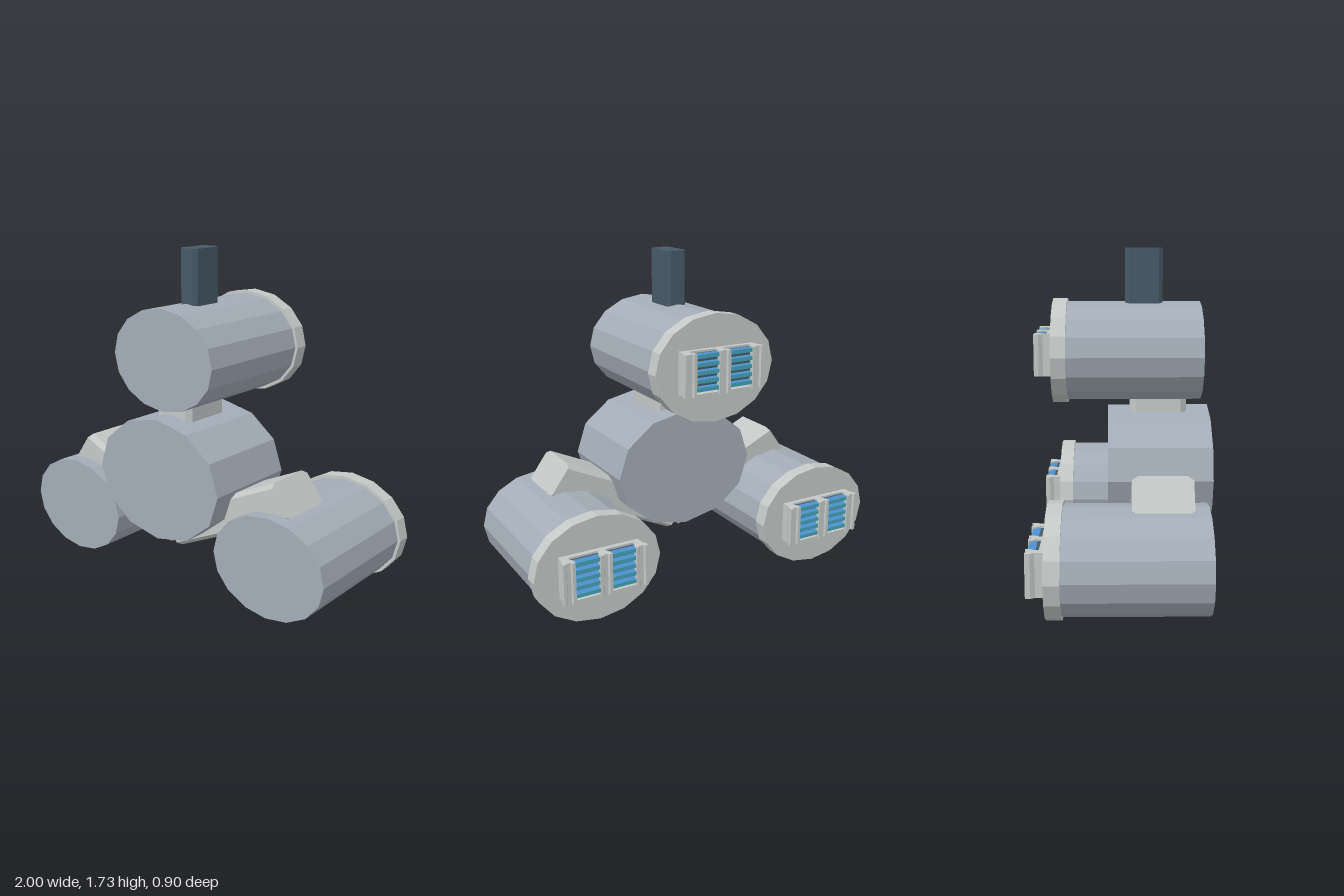
import * as THREE from 'three';

const material = (name, color, flatShading = true) => {
  const m = new THREE.MeshStandardMaterial({ color, flatShading });
  m.name = name;
  return m;
};

// Prism along y whose rectangular section (w by d) has cut corners
function chamferedPrism(w, d, h, cw, cd) {
  const x = w / 2, y = d / 2;
  const shape = new THREE.Shape([
    [x - cw, -y], [x, -y + cd], [x, y - cd], [x - cw, y],
    [-x + cw, y], [-x, y - cd], [-x, -y + cd], [-x + cw, -y],
  ].map(p => new THREE.Vector2(...p)));
  const g = new THREE.ExtrudeGeometry(shape, { depth: h, bevelEnabled: false });
  return g.translate(0, 0, -h / 2).rotateX(-Math.PI / 2);
}

// Elliptical drum lying along z
function drum(rx, ry, z0, z1, sides) {
  return new THREE.CylinderGeometry(1, 1, z1 - z0, sides)
    .rotateX(Math.PI / 2).scale(rx, ry, 1).translate(0, 0, (z0 + z1) / 2);
}

export function createModel() {
  const hull = material('hull grey', 0xa3acb7);
  const trim = material('light trim', 0xc3c8c7);
  const slate = material('dark slate', 0x465a68);
  const blue = material('vane blue', 0x4f8fd0);
  const teal = material('vane teal', 0x45a5ba);

  const model = new THREE.Group();
  model.name = 'podCluster';
  const add = (parent, name, geometry, mat) => {
    const mesh = new THREE.Mesh(geometry, mat);
    mesh.name = name;
    parent.add(mesh);
    return mesh;
  };

  // Central hub
  const hubY = 0.587, stretch = 1.25;
  add(model, 'hub', drum(0.4, 0.32, -0.075, 0.455, 12), hull).position.y = hubY;

  // Grille post: narrow neck opening into a two-horned head
  const half = [[0.02, 0.36], [0.02, 0.405], [0.032, 0.425], [0.032, 0.45], [0.016, 0.45], [0.01, 0.44]];
  const outline = [...half, ...half.slice().reverse().map(([x, z]) => [-x, z])];
  const postShape = new THREE.Shape(outline.map(p => new THREE.Vector2(...p)));
  const postGeometry = new THREE.ExtrudeGeometry(postShape, { depth: 0.215, bevelEnabled: false })
    .translate(0, 0, -0.1075).rotateX(-Math.PI / 2);

  function makeGrille() {
    const grille = new THREE.Group();
    grille.name = 'rearGrille';
    add(grille, 'grilleBase', new THREE.BoxGeometry(0.41, 0.215, 0.03), trim).position.z = -0.372;
    add(grille, 'grilleBacking', new THREE.BoxGeometry(0.37, 0.195, 0.02), slate).position.z = -0.396;
    add(grille, 'grilleSill', new THREE.BoxGeometry(0.38, 0.012, 0.06), trim).position.set(0, -0.1015, -0.41);
    for (const x of [-0.193, 0, 0.193]) add(grille, 'grillePost', postGeometry, trim).position.x = x;
    // Horizontal vanes in both bays
    for (const x of [-0.0965, 0.0965]) {
      for (let i = 0; i < 5; i++) {
        const y = -0.074 + i * 0.041;
        add(grille, 'vane', new THREE.BoxGeometry(0.145, 0.02, 0.034), blue).position.set(x, y, -0.421);
        add(grille, 'vaneFace', new THREE.BoxGeometry(0.145, 0.02, 0.004), teal).position.set(x, y, -0.44);
      }
    }
    return grille;
  }

  // Three pods around the hub
  for (const [name, x, y] of [['topPod', 0, 1.199], ['leftPod', 0.66, 0.278], ['rightPod', -0.66, 0.278]]) {
    const pod = new THREE.Group();
    pod.name = name;
    pod.position.set(x, y, 0);
    add(pod, 'podBody', drum(0.325, 0.26, -0.29, 0.408, 16), hull);
    add(pod, 'podRim', drum(0.34, 0.276, -0.36, -0.285, 16), trim);
    pod.add(makeGrille());
    model.add(pod);
  }

  // Connecting arms, leaning 60 degrees on the two lower sides
  const reach = 0.305;
  for (const [name, place, lean] of [['topArm', 90, 0], ['leftArm', -30, -60], ['rightArm', 210, 60]]) {
    const a = THREE.MathUtils.degToRad(place);
    const g = chamferedPrism(0.184, 0.295, 0.65, 0.02, 0.03)
      .rotateZ(THREE.MathUtils.degToRad(lean))
      .translate(Math.cos(a) * reach, Math.sin(a) * reach, 0)
      .scale(stretch, 1, 1);
    add(model, name, g, trim).position.set(0, hubY, 0.188);
  }

  // Upright mast on the top pod
  add(model, 'mast', chamferedPrism(0.112, 0.195, 0.435, 0.018, 0.02), slate).position.set(0, 1.5175, 0.113);

  return model;
}
